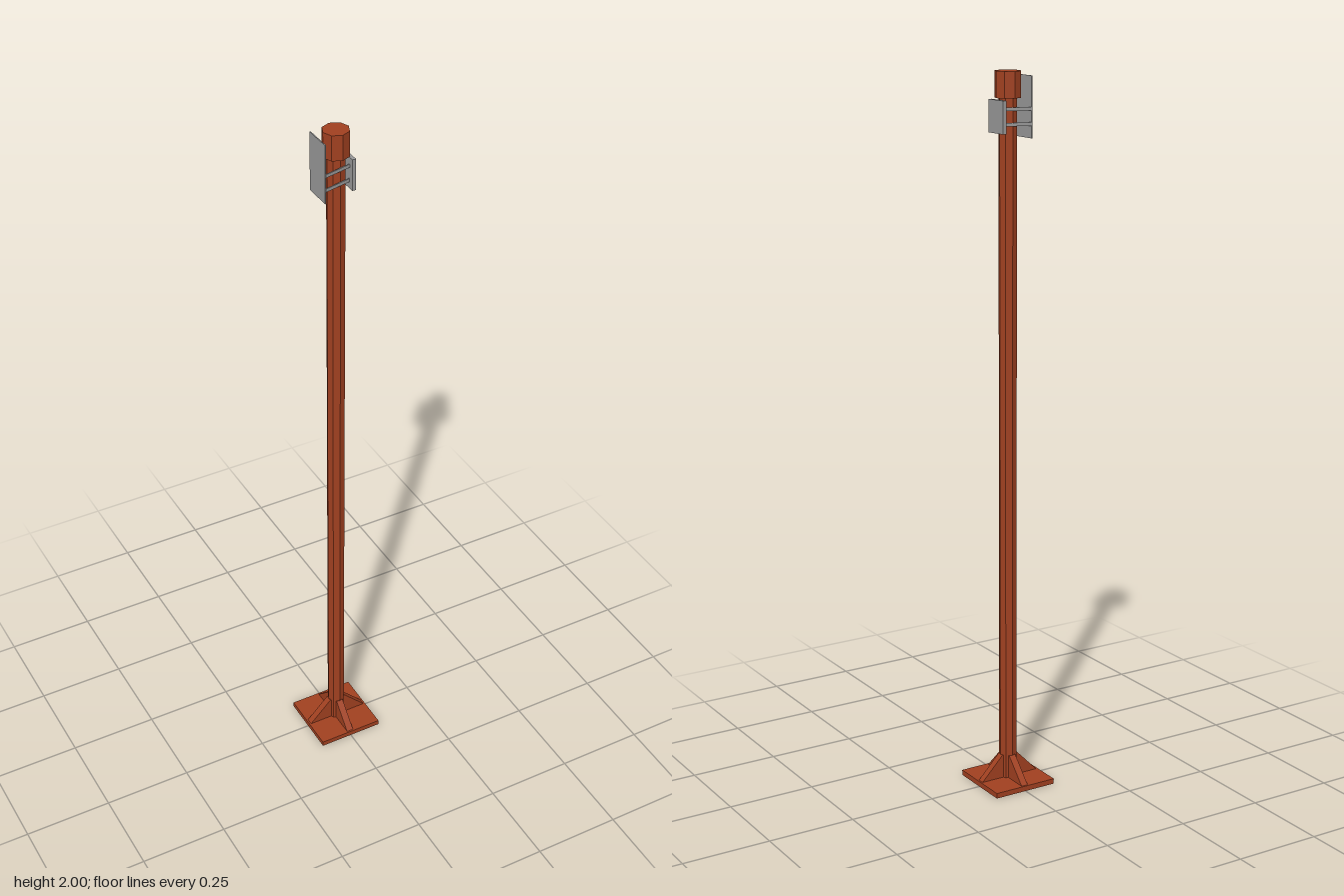
import * as THREE from 'three';

const rust = new THREE.MeshStandardMaterial({ color: 0xa04020, flatShading: true });
const steel = new THREE.MeshStandardMaterial({ color: 0x999999, flatShading: true });

export function createModel() {
  const model = new THREE.Group();
  const add = (name, geometry, material, x = 0, y = 0, z = 0) => {
    const mesh = new THREE.Mesh(geometry, material);
    mesh.name = name;
    mesh.position.set(x, y, z);
    model.add(mesh);
    return mesh;
  };

  // Square foot, octagonal post and wider cap
  add('basePlate', new THREE.BoxGeometry(0.19, 0.015, 0.19), rust, 0, 0.0075, 0);
  add('post', new THREE.CylinderGeometry(0.025, 0.025, 1.93, 8), rust, 0, 0.975, 0);
  add('cap', new THREE.CylinderGeometry(0.036, 0.036, 0.07, 8), rust, 0, 1.965, 0);

  // Four triangular gussets bracing the post
  const wedge = new THREE.Shape([
    new THREE.Vector2(0.01, 0.012),
    new THREE.Vector2(0.09, 0.015),
    new THREE.Vector2(0.024, 0.083),
    new THREE.Vector2(0.01, 0.083),
  ]);
  const gusset = new THREE.ExtrudeGeometry(wedge, { depth: 0.02, bevelEnabled: false });
  gusset.translate(0, 0, -0.01);
  for (let i = 0; i < 4; i++) add('gusset', gusset, rust).rotation.y = (i * Math.PI) / 2;

  // Thick clamp plate on the left, tall thin plate on the right
  add('clampPlate', new THREE.BoxGeometry(0.01, 0.087, 0.072), steel, 0.032, 1.882, 0);
  add('signPlate', new THREE.BoxGeometry(0.003, 0.163, 0.08), steel, -0.05, 1.906, 0);

  // Two pairs of converging straps joining the plates
  const dx = 0.08, dz = 0.019;
  const strap = new THREE.BoxGeometry(Math.hypot(dx, dz), 0.009, 0.003);
  for (const y of [1.862, 1.902]) {
    for (const side of [-1, 1]) {
      const bar = add('strap', strap, steel, -0.05 + dx / 2, y, side * (0.039 - dz / 2));
      bar.rotation.y = side * Math.atan2(dz, dx);
    }
  }
  return model;
}
